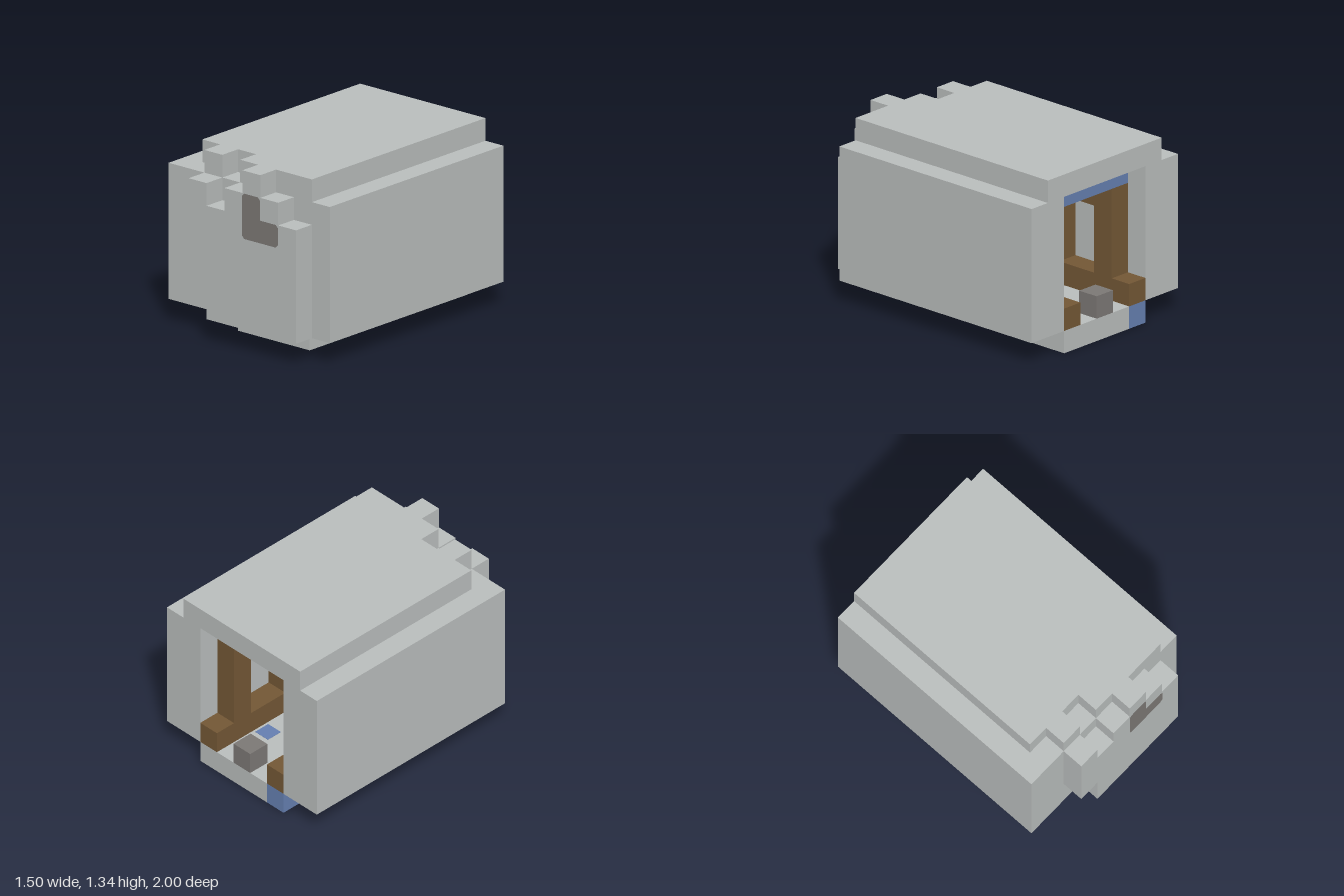
import * as THREE from 'three';

const U = 1 / 6; // one block
const X = (i) => i * U - 0.75;
const Y = (j) => j * U;
const Z = (k) => k * U - 1;

export function createModel() {
  const model = new THREE.Group();
  model.name = 'blockHousing';
  const mat = (name, color) => Object.assign(new THREE.MeshStandardMaterial({ color }), { name });
  const grey = mat('light grey', 0xbbbfbe);
  const dark = mat('warm dark grey', 0x7d7976);
  const brown = mat('brown', 0x745836);
  const blue = mat('blue', 0x6680b2);

  const add = (name, geo, material) => {
    const mesh = new THREE.Mesh(geo, material);
    mesh.name = name;
    model.add(mesh);
    return mesh;
  };
  // Box between two block-grid corners
  const box = (name, material, x0, x1, y0, y1, z0, z1) =>
    add(name, new THREE.BoxGeometry((x1 - x0) * U, (y1 - y0) * U, (z1 - z0) * U), material)
      .position.set(X((x0 + x1) / 2), Y((y0 + y1) / 2), Z((z0 + z1) / 2));
  const outline = (pts) => new THREE.Shape(pts.map(([i, j]) => new THREE.Vector2(X(i), Y(j))));

  // Outer shell: thick side walls, front wall, roof and floor
  box('rightWall', grey, 0, 2, 1, 7, 0, 11);
  box('leftWall', grey, 7, 9, 1, 7, 0, 11);
  box('frontWall', grey, 2, 7, 1, 7, 9, 11);
  box('roof', grey, 1, 8, 7, 8, 0, 10);
  box('roofTooth', grey, 2, 3, 7, 8, 10, 11);
  box('roofFrontEdge', grey, 4, 8, 7, 8, 10, 11);
  box('floor', grey, 3, 7, 0, 1, 0, 10);
  box('floorEdge', grey, 2, 3, 0, 1, 7, 9);
  box('floorCorner', blue, 2, 3, 0, 1, 0, 1);
  box('floorInset', blue, 2, 3, 0, 1, 2, 4);

  // Stepped plate on the front
  const plate = outline([
    [3, 1], [8, 1], [8, 6], [7, 6], [7, 7], [6, 7], [6, 8], [5, 8], [5, 7],
    [4, 7], [4, 6], [3, 6], [3, 7], [2, 7], [2, 3], [3, 3],
  ]);
  add('frontPlate', new THREE.ExtrudeGeometry(plate, { depth: U, bevelEnabled: false }), grey)
    .position.z = Z(11);

  // L-shaped patch with softened corners
  const c = 0.12;
  const patch = outline([
    [5 + c, 5], [7 - c, 5], [7, 5 + c], [7, 6 - c], [7 - c, 6], [6, 6],
    [6, 7 - c], [6 - c, 7], [5 + c, 7], [5, 7 - c], [5, 5 + c],
  ]);
  add('frontPatch', new THREE.ShapeGeometry(patch), dark).position.z = 1.003;

  // Brown window frames lining both sides of the interior
  for (const [side, i] of [['right', 2], ['left', 6]]) {
    box(side + 'Sill', brown, i, i + 1, 1, 2, 0, 9);
    box(side + 'TopRail', brown, i, i + 1, 5, 6, 1, 6);
    for (const [k0, k1] of [[1, 2], [4, 6]]) box(side + 'Post', brown, i, i + 1, 2, 5, k0, k1);
  }
  box('ceilingPanel', blue, 2, 7, 6, 7, 1, 6);
  box('floorBlock', dark, 4, 5, 1, 2, 0, 1);

  // Thin inlays on the floor and underside
  const t = 0.015;
  for (const [x0, x1, k] of [[5, 6, 2], [3, 5, 8]]) {
    box('undersideInlay', blue, x0 + c, x1 - c, -t, t, k + c, k + 1 - c);
    box('floorInlay', blue, x0 + c, x1 - c, 1 - t, 1 + t, k + c, k + 1 - c);
  }
  box('wallUndersideInlay', dark, 1 + c, 2 - c, 1 - t, 1 + t, 7 + c, 8 - c);
  return model;
}
